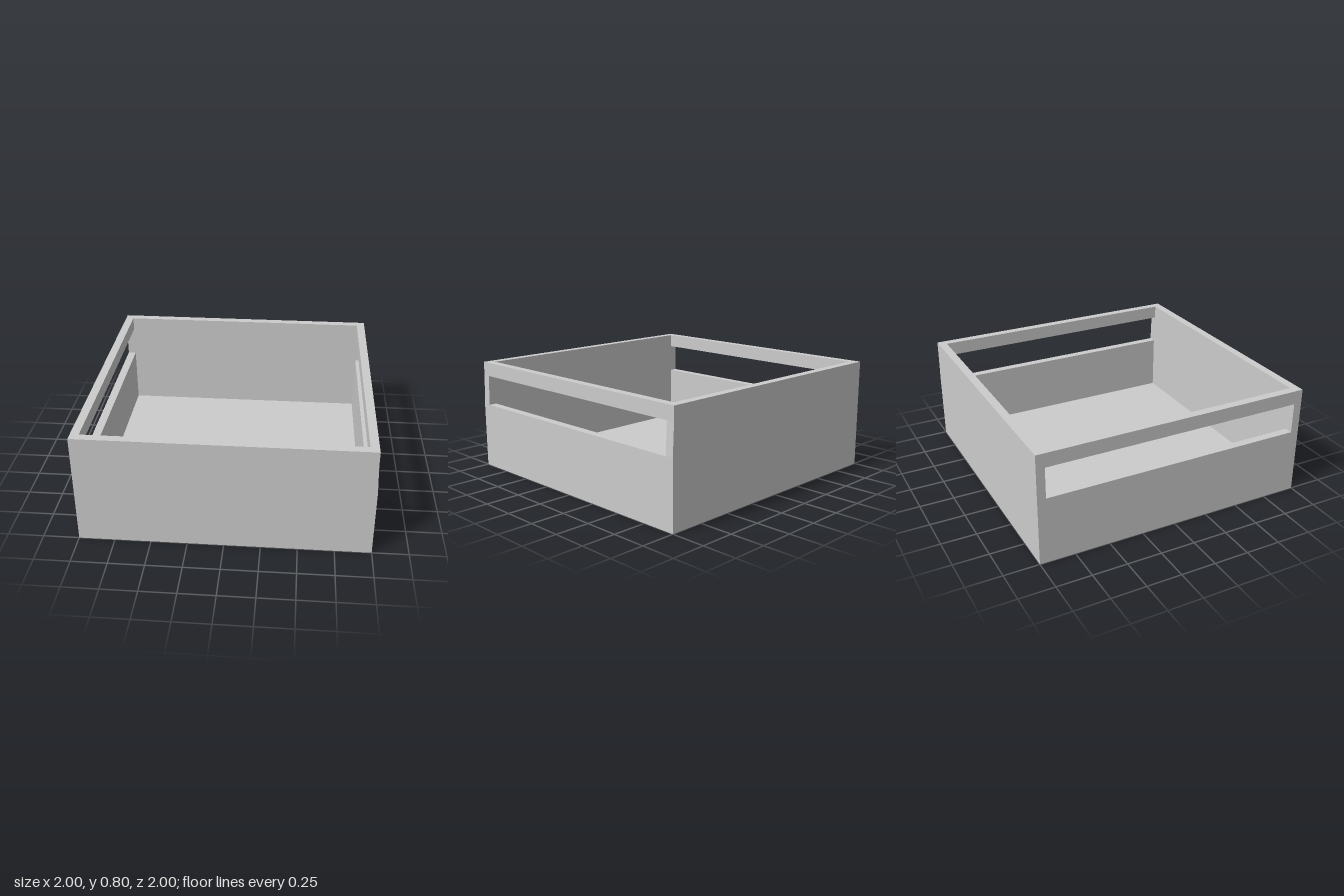
import * as THREE from 'three';

const HEIGHT = 0.8, WALL = 0.06, INNER = 1 - WALL;
const SILL = 0.48, RAIL = 0.7; // bottom and top of the side openings
const LEAN = 0.01;             // the left rail sits slightly inward

export function createModel() {
  const model = new THREE.Group();
  const material = new THREE.MeshStandardMaterial({ color: 0xcccccc, flatShading: true });

  const add = (name, geometry, x, y, z) => {
    const mesh = new THREE.Mesh(geometry, material);
    mesh.name = name;
    mesh.position.set(x, y, z);
    model.add(mesh);
  };

  // Front and back walls: full-width panels whose left edge leans in beside the opening
  const profile = new THREE.Shape([
    [-1, 0], [1, 0], [1, SILL], [1 - LEAN, RAIL], [1 - LEAN, HEIGHT], [-1, HEIGHT],
  ].map(([x, y]) => new THREE.Vector2(x, y)));
  const panel = new THREE.ExtrudeGeometry(profile, { depth: WALL, bevelEnabled: false });
  add('frontWall', panel, 0, 0, INNER);
  add('backWall', panel, 0, 0, -1);

  // Floor between the walls
  add('floor', new THREE.BoxGeometry(2 * INNER, WALL, 2 * INNER), 0, WALL / 2, 0);

  // Each side: a lower wall and a top rail, with a long open slot between them
  const lower = new THREE.BoxGeometry(WALL, SILL, 2 * INNER);
  const rail = new THREE.BoxGeometry(WALL, HEIGHT - RAIL, 2 * INNER);
  for (const [side, sign, lean] of [['left', 1, LEAN], ['right', -1, 0]]) {
    const x = sign * (1 - WALL / 2);
    add(side + 'LowerWall', lower, x, SILL / 2, 0);
    add(side + 'TopRail', rail, x - lean, (HEIGHT + RAIL) / 2, 0);
  }

  return model;
}
